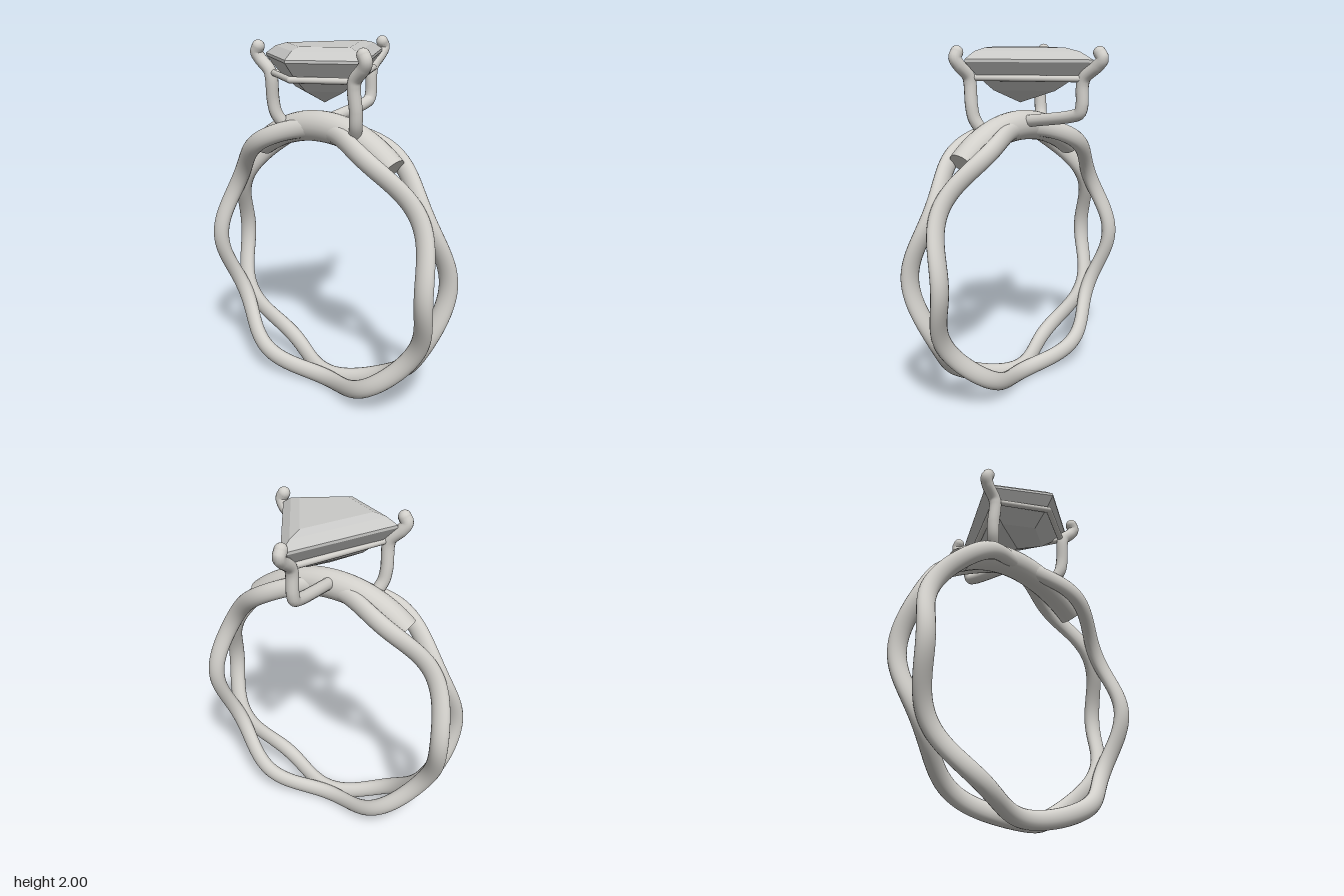
import * as THREE from 'three';
import { toCreasedNormals } from 'three/addons/utils/BufferGeometryUtils.js';

const metal = new THREE.MeshStandardMaterial({ color: 0xd1cfca });
metal.name = 'polished metal';
const stone = new THREE.MeshStandardMaterial({ color: 0xc9c9c7 });
stone.name = 'pale stone';

const MID_Z = 0.15, RING_Y = 0.8, RING_R = 0.7475;
const v = (x, y, z) => new THREE.Vector3(x, y, z);

function add(parent, name, geometry, material = metal) {
  const mesh = new THREE.Mesh(geometry, material);
  mesh.name = name;
  parent.add(mesh);
  return mesh;
}

// Joins equal-sized loops of points into a surface
function skin(loops, closed) {
  const n = loops[0].length, index = [];
  const last = closed ? loops.length : loops.length - 1;
  for (let i = 0; i < last; i++) {
    const k = (i + 1) % loops.length;
    for (let j = 0; j < n; j++) {
      const m = (j + 1) % n;
      const a = i * n + j, b = k * n + j, c = k * n + m, d = i * n + m;
      index.push(a, b, c, a, c, d);
    }
  }
  const g = new THREE.BufferGeometry().setFromPoints(loops.flat());
  g.setIndex(index);
  g.computeVertexNormals();
  return g;
}

// Oval section of the band at an angle around the finger
function section(angle, radius, z, halfR, halfZ, sides = 20) {
  return Array.from({ length: sides }, (_, j) => {
    const p = (j / sides) * Math.PI * 2;
    const r = radius + halfR * Math.cos(p);
    return v(r * Math.cos(angle), RING_Y + r * Math.sin(angle), z + halfZ * Math.sin(p));
  });
}

// One wavy strand of the band
function strand(side) {
  const loops = [], N = 180;
  for (let i = 0; i < N; i++) {
    const a = (i / N) * Math.PI * 2;
    const offset = 0.07 + 0.045 * Math.cos(6 * a);
    loops.push(section(a, RING_R, MID_Z + side * offset, 0.0525, 0.041));
  }
  return skin(loops, true);
}

// Thick saddle filling the gap between the strands at the top
function saddle() {
  const loops = [], N = 40, span = 0.66;
  const at = (t, s) => {
    const fade = t * t;
    return section(Math.PI / 2 + t * span, 0.756 - 0.002 * fade, MID_Z,
      s * (0.084 - 0.02 * fade), s * (0.077 - 0.002 * fade));
  };
  loops.push(at(-1, 0));
  for (let i = 0; i <= N; i++) loops.push(at((i / N) * 2 - 1, 1));
  loops.push(at(1, 0));
  return toCreasedNormals(skin(loops, false), 0.7);
}

// Round wire with domed ends
function wire(parent, name, points, radius) {
  const group = new THREE.Group();
  group.name = name;
  const curve = new THREE.CatmullRomCurve3(points, false, 'centripetal');
  add(group, name + 'Rod', new THREE.TubeGeometry(curve, 56, radius, 14));
  for (const p of [points[0], points[points.length - 1]]) {
    add(group, name + 'End', new THREE.SphereGeometry(radius, 14, 10)).position.copy(p);
  }
  parent.add(group);
}

// Kite-shaped step-cut stone, levels from culet to table
function gem() {
  const kite = [[0, 0.44], [0.34, 0.23], [0, -0.36], [-0.34, 0.23]];
  const cz = 0.142;
  const levels = [[0, 1.685], [0.5, 1.76], [0.8, 1.843], [1, 1.915], [1, 1.93],
    [0.83, 1.97], [0.64, 1.988], [0, 1.988]];
  const loops = levels.map(([s, y]) => kite.map(([x, z]) => v(x * s, y, cz + (z - cz) * s)));
  // Loops run counterclockwise seen from above, so reverse them for outward faces
  const g = skin(loops.reverse(), false).toNonIndexed();
  g.computeVertexNormals();
  return g;
}

export function createModel() {
  const model = new THREE.Group();
  model.name = 'ring';

  const band = new THREE.Group();
  band.name = 'band';
  add(band, 'frontStrand', strand(1));
  add(band, 'backStrand', strand(-1));
  add(band, 'saddle', saddle());
  model.add(band);

  const setting = new THREE.Group();
  setting.name = 'setting';
  model.add(setting);

  // Two mirrored front prongs
  for (const s of [1, -1]) {
    wire(setting, s > 0 ? 'leftProng' : 'rightProng', [
      v(s * 0.255, 1.55, 0.2), v(s * 0.28, 1.61, 0.227), v(s * 0.289, 1.68, 0.238),
      v(s * 0.285, 1.8, 0.25), v(s * 0.295, 1.84, 0.252), v(s * 0.355, 1.9, 0.262),
      v(s * 0.373, 1.935, 0.27), v(s * 0.358, 1.965, 0.27),
    ], 0.035);
  }

  // Back prong with its arm reaching from the saddle
  wire(setting, 'backProng', [
    v(-0.015, 1.58, 0.12), v(-0.015, 1.592, 0.03), v(-0.015, 1.632, -0.22),
    v(-0.015, 1.65, -0.265), v(-0.015, 1.69, -0.28), v(-0.015, 1.8, -0.282),
    v(-0.015, 1.84, -0.297), v(-0.018, 1.9, -0.375), v(-0.02, 1.935, -0.404),
    v(-0.02, 1.965, -0.385),
  ], 0.034);

  // Kite-shaped gallery wire under the stone
  const corners = [v(0, 1.83, 0.405), v(0.28, 1.83, 0.245), v(0, 1.83, -0.285), v(-0.28, 1.83, 0.245)];
  corners.forEach((p, i) => {
    const q = corners[(i + 1) % 4];
    wire(setting, 'galleryWire', [p, p.clone().lerp(q, 0.5), q], 0.017);
  });

  add(model, 'stone', gem(), stone);
  return model;
}
